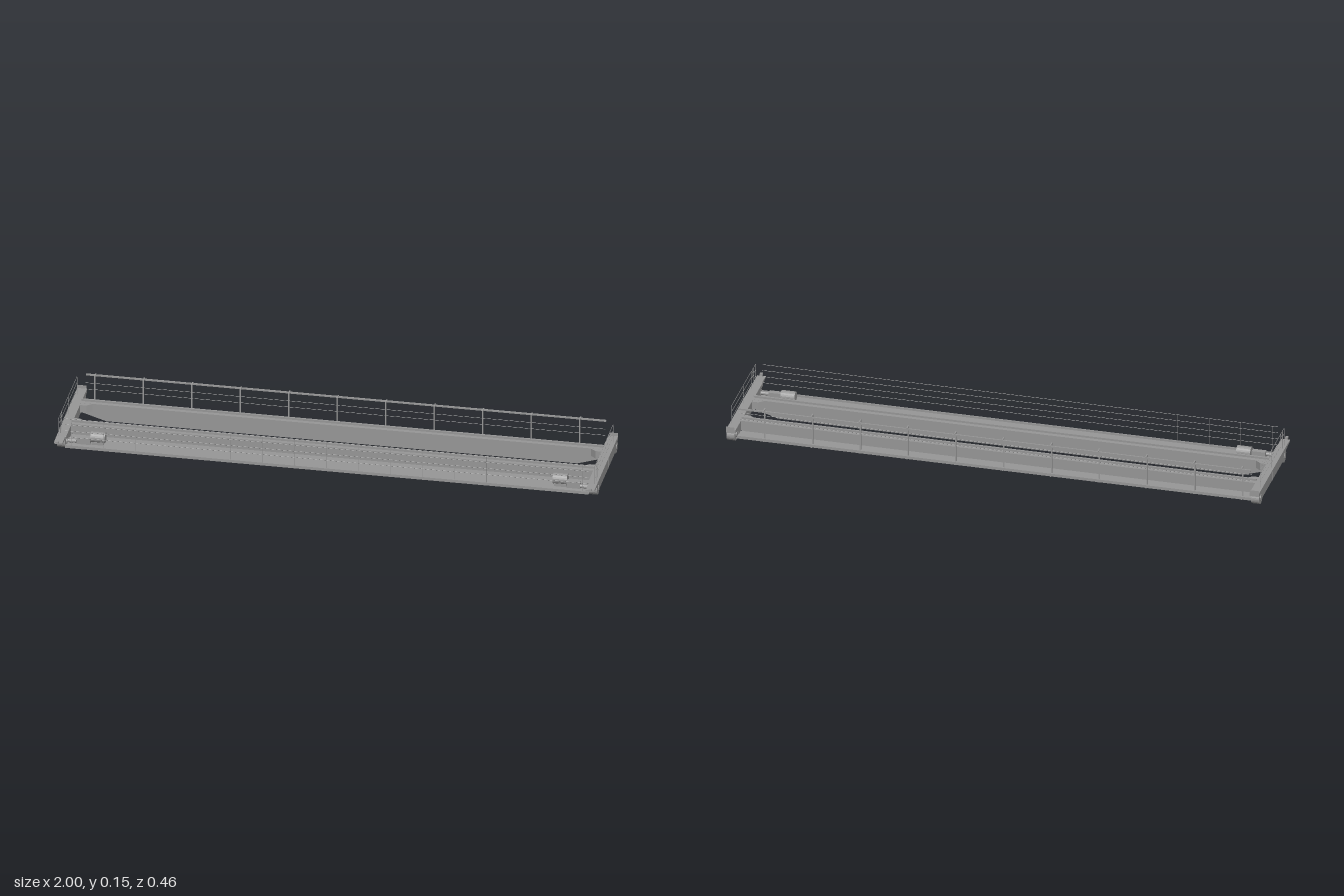
import * as THREE from 'three';

const grey = new THREE.MeshStandardMaterial({ color: 0x989898, flatShading: true, side: THREE.DoubleSide });
const TUBE = 0.0008;

function add(parent, name, geometry) {
  const mesh = new THREE.Mesh(geometry, grey);
  mesh.name = name;
  parent.add(mesh);
  return mesh;
}

// Box given by its limits on each axis
function box(parent, name, [x0, x1], [y0, y1], [z0, z1]) {
  const g = new THREE.BoxGeometry(x1 - x0, y1 - y0, z1 - z0);
  return add(parent, name, g.translate((x0 + x1) / 2, (y0 + y1) / 2, (z0 + z1) / 2));
}

// Round bar between two points
function bar(parent, name, a, b) {
  const p = new THREE.Vector3(...a), q = new THREE.Vector3(...b);
  const mesh = add(parent, name, new THREE.CylinderGeometry(TUBE, TUBE, p.distanceTo(q), 6));
  mesh.position.copy(p).lerp(q, 0.5);
  mesh.quaternion.setFromUnitVectors(new THREE.Vector3(0, 1, 0), q.sub(p).normalize());
}

// Side profile in (z, y), extruded from x0 to x1
function crossProfile(parent, name, points, x0, x1) {
  const shape = new THREE.Shape(points.map(([z, y]) => new THREE.Vector2(-z, y)));
  const g = new THREE.ExtrudeGeometry(shape, { depth: x1 - x0, bevelEnabled: false });
  add(parent, name, g.rotateY(Math.PI / 2).translate(x0, 0, 0));
}

// Cylinder lying along x
function roundX(parent, name, r, x0, x1, y, z, sides = 24) {
  const g = new THREE.CylinderGeometry(r, r, x1 - x0, sides).rotateZ(Math.PI / 2);
  add(parent, name, g.translate((x0 + x1) / 2, y, z));
}

// Bent handrail frame with rounded top corners, in a plane of constant x
function hoop(parent, name, x, z0, z1, y0, y1) {
  const r = 0.005, path = new THREE.CurvePath();
  const P = (z, y) => new THREE.Vector3(x, y, z);
  path.add(new THREE.LineCurve3(P(z0, y0), P(z0, y1 - r)));
  path.add(new THREE.QuadraticBezierCurve3(P(z0, y1 - r), P(z0, y1), P(z0 + r, y1)));
  path.add(new THREE.LineCurve3(P(z0 + r, y1), P(z1 - r, y1)));
  path.add(new THREE.QuadraticBezierCurve3(P(z1 - r, y1), P(z1, y1), P(z1, y1 - r)));
  path.add(new THREE.LineCurve3(P(z1, y1 - r), P(z1, y0)));
  add(parent, name, new THREE.TubeGeometry(path, 80, TUBE, 6));
}

// Box girder with tapered ends and a trolley rail
function girder(z) {
  const g = new THREE.Group();
  g.name = 'mainGirder';
  const shape = new THREE.Shape();
  [[-0.967, 0.03], [-0.87, 0], [0.87, 0], [0.967, 0.03], [0.967, 0.0655], [-0.967, 0.0655]]
    .forEach(([x, y], i) => (i ? shape.lineTo(x, y) : shape.moveTo(x, y)));
  const body = new THREE.ExtrudeGeometry(shape, { depth: 0.033, bevelEnabled: false });
  add(g, 'girderBody', body.translate(0, 0, z - 0.0165));
  box(g, 'railWeb', [-0.965, 0.965], [0.0655, 0.072], [z - 0.001, z + 0.001]);
  box(g, 'railHead', [-0.965, 0.965], [0.072, 0.0745], [z - 0.0035, z + 0.0035]);
  return g;
}

// Carriage at the +x end, with wheels, buffers and end railing
function endCarriage() {
  const g = new THREE.Group();
  g.name = 'endCarriage';
  box(g, 'carriageBeam', [0.963, 0.998], [0.027, 0.066], [-0.183, 0.127]);
  crossProfile(g, 'frontWheelHousing', [[0.165, 0.066], [0.127, 0.066], [0.127, 0.04], [0.145, 0.05],
    [0.165, 0.054]], 0.963, 0.998);
  crossProfile(g, 'backWheelHousing', [[-0.183, 0.066], [-0.226, 0.066], [-0.226, 0.054], [-0.198, 0.05],
    [-0.183, 0.04]], 0.963, 0.998);
  crossProfile(g, 'frontOutrigger', [[0.218, 0.065], [0.165, 0.066], [0.165, 0.053], [0.218, 0.06]], 0.966, 0.998);
  box(g, 'frontBuffer', [0.979, 0.989], [0.064, 0.073], [0.218, 0.228]);
  box(g, 'backStop', [0.966, 0.998], [0.054, 0.078], [-0.228, -0.2265]);
  for (const z of [0.14, -0.197]) {
    roundX(g, 'wheel', 0.025, 0.967, 0.9975, 0.038, z);
    roundX(g, 'wheelHub', 0.011, 0.963, 1.0, 0.038, z);
  }
  box(g, 'splicePlate', [0.998, 0.9995], [0.028, 0.065], [-0.0415, -0.0405]);

  // End railing with an access gate
  const x = 0.99;
  hoop(g, 'endRailing', x, -0.176, 0.111, 0.065, 0.139);
  bar(g, 'endRailPost', [x, 0.065, -0.012], [x, 0.139, -0.012]);
  hoop(g, 'cornerRailing', x, 0.141, 0.166, 0.065, 0.139);
  for (const y of [0.09, 0.115]) {
    bar(g, 'endMidRail', [x, y, -0.176], [x, y, 0.111]);
    bar(g, 'cornerMidRail', [x, y, 0.141], [x, y, 0.166]);
  }
  hoop(g, 'gateHoop', x, 0.114, 0.138, 0.108, 0.139);
  bar(g, 'gateBottom', [x, 0.108, 0.114], [x, 0.108, 0.138]);
  bar(g, 'gateBar', [x, 0.123, 0.114], [x, 0.123, 0.138]);

  // Gussets in the corners of the opening
  for (const [z, d] of [[-0.112, 1], [0.028, -1]]) {
    const s = new THREE.Shape();
    s.moveTo(0.97, z - d * 0.004);
    s.lineTo(0.915, z - d * 0.004);
    s.lineTo(0.94, z + d * 0.016);
    s.lineTo(0.97, z + d * 0.018);
    const gusset = new THREE.ExtrudeGeometry(s, { depth: 0.03, bevelEnabled: false });
    add(g, 'cornerGusset', gusset.rotateX(Math.PI / 2).translate(0, 0.065, 0));
  }

  // Travel drive: motor, gearbox and shaft on the walkway
  roundX(g, 'driveMotor', 0.02, 0.827, 0.88, 0.05, 0.116, 20);
  box(g, 'driveBase', [0.832, 0.876], [0.025, 0.036], [0.1, 0.132]);
  box(g, 'driveGearbox', [0.88, 0.93], [0.027, 0.052], [0.12, 0.14]);
  roundX(g, 'driveShaft', 0.007, 0.93, 0.97, 0.038, 0.138, 12);
  return g;
}

function frontWalkway() {
  const g = new THREE.Group();
  g.name = 'frontWalkway';
  box(g, 'frontDeck', [-0.967, 0.967], [0.022, 0.025], [0.058, 0.166]);
  box(g, 'frontToeBoard', [-0.967, 0.967], [0.022, 0.033], [0.165, 0.169]);
  for (const y of [0.065, 0.09, 0.115, 0.139])
    bar(g, 'frontHandrail', [-0.967, y, 0.166], [0.967, y, 0.166]);
  for (let i = 0; i < 17; i++) {
    const x = -0.944 + i * 0.118;
    bar(g, 'frontRailPost', [x, 0.022, 0.166], [x, 0.139, 0.166]);
    box(g, 'deckBeam', [x - 0.001, x + 0.001], [0.021, 0.022], [0.06, 0.166]);
  }
  return g;
}

function backWalkway() {
  const g = new THREE.Group();
  g.name = 'backWalkway';
  box(g, 'backDeck', [-0.967, 0.967], [0.022, 0.025], [-0.2, -0.143]);
  box(g, 'backToeBoard', [-0.967, 0.967], [0.022, 0.033], [-0.202, -0.199]);
  // Cable track on posts with short top arms
  for (let i = 0; i < 11; i++) {
    const x = -0.925 + i * 0.179;
    box(g, 'trackPost', [x - 0.0025, x + 0.0025], [0.022, 0.146], [-0.181, -0.176]);
    box(g, 'trackArm', [x - 0.0025, x + 0.0025], [0.143, 0.146], [-0.199, -0.176]);
    crossProfile(g, 'deckBracket', [[-0.143, 0.008], [-0.143, 0.022], [-0.198, 0.022], [-0.198, 0.018]],
      x - 0.002, x + 0.002);
  }
  box(g, 'cableTrack', [-0.96, 0.96], [0.137, 0.143], [-0.198, -0.193]);
  for (const y of [0.09, 0.115])
    bar(g, 'backMidRail', [-0.96, y, -0.178], [0.96, y, -0.178]);
  return g;
}

export function createModel() {
  const model = new THREE.Group();
  model.name = 'bridgeCrane';
  model.add(girder(0.0445), girder(-0.1285), frontWalkway(), backWalkway());
  const left = endCarriage();
  left.name = 'leftEnd';
  // Mirrored end
  const right = endCarriage();
  right.name = 'rightEnd';
  right.scale.x = -1;
  model.add(left, right);
  return model;
}
